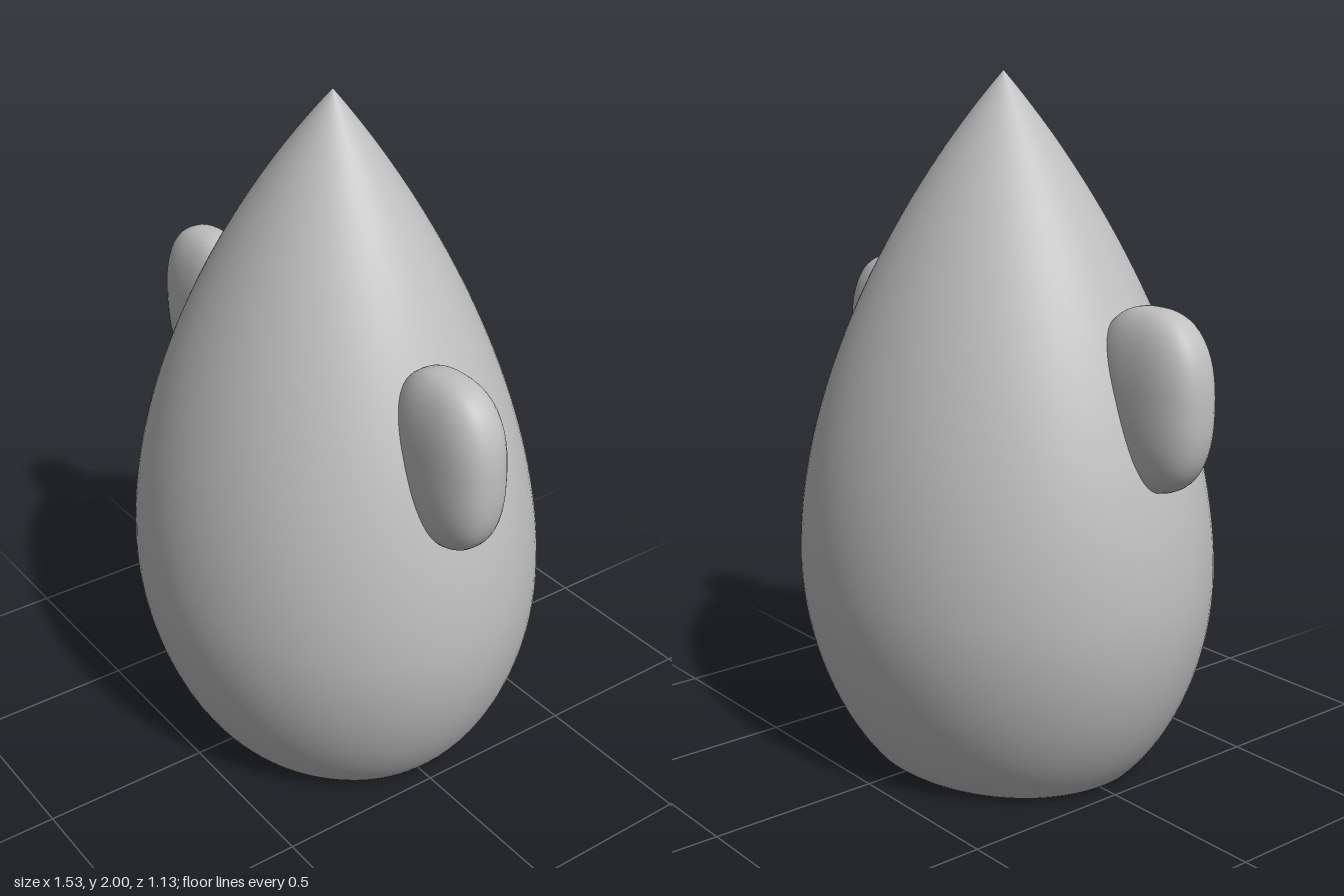
import * as THREE from 'three';

const DEPTH = 0.85; // body is slightly flattened front to back

// Rounded lozenge: a sphere pushed out to a superellipsoid, with exact normals
function lozenge(hx, hy, hz, n) {
  const geo = new THREE.SphereGeometry(1, 48, 32);
  const pos = geo.attributes.position, nor = geo.attributes.normal;
  const v = new THREE.Vector3();
  const slope = (c, h) => Math.sign(c) * Math.abs(c) ** (n - 1) / h;
  for (let i = 0; i < pos.count; i++) {
    v.fromBufferAttribute(pos, i);
    const r = (Math.abs(v.x) ** n + Math.abs(v.y) ** n + Math.abs(v.z) ** n) ** (1 / n);
    v.divideScalar(r);
    pos.setXYZ(i, v.x * hx, v.y * hy, v.z * hz);
    v.set(slope(v.x, hx), slope(v.y, hy), slope(v.z, hz)).normalize();
    nor.setXYZ(i, v.x, v.y, v.z);
  }
  return geo;
}

export function createModel() {
  const group = new THREE.Group();
  const grey = new THREE.MeshStandardMaterial({ color: 0xbfbfbf });
  grey.name = 'grey';

  const add = (name, geo) => {
    const mesh = new THREE.Mesh(geo, grey);
    mesh.name = name;
    group.add(mesh);
    return mesh;
  };

  // Teardrop body: belly curve, then a long taper to the point
  const P = (x, y) => new THREE.Vector2(x, y);
  const belly = new THREE.CubicBezierCurve(P(0.45, 0.01), P(0.57, 0.13), P(0.667, 0.35), P(0.667, 0.58));
  const taper = new THREE.CubicBezierCurve(P(0.667, 0.58), P(0.667, 1.06), P(0.36, 1.62), P(0, 2));
  const profile = [...belly.getPoints(20), ...taper.getPoints(36).slice(1)];
  add('body', new THREE.LatheGeometry(profile, 96).scale(1, 1, DEPTH));

  // Flat base with a thin bevelled rim
  add('base', new THREE.CylinderGeometry(0.45, 0.435, 0.01, 96).translate(0, 0.005, 0).scale(1, 1, DEPTH));

  // Side lobes, sunk into the body
  for (const [name, side] of [['leftEar', 1], ['rightEar', -1]]) {
    add(name, lozenge(0.19, 0.25, 0.102, 2.5)).position.set(side * 0.575, 1.16, 0.043);
  }

  return group;
}
